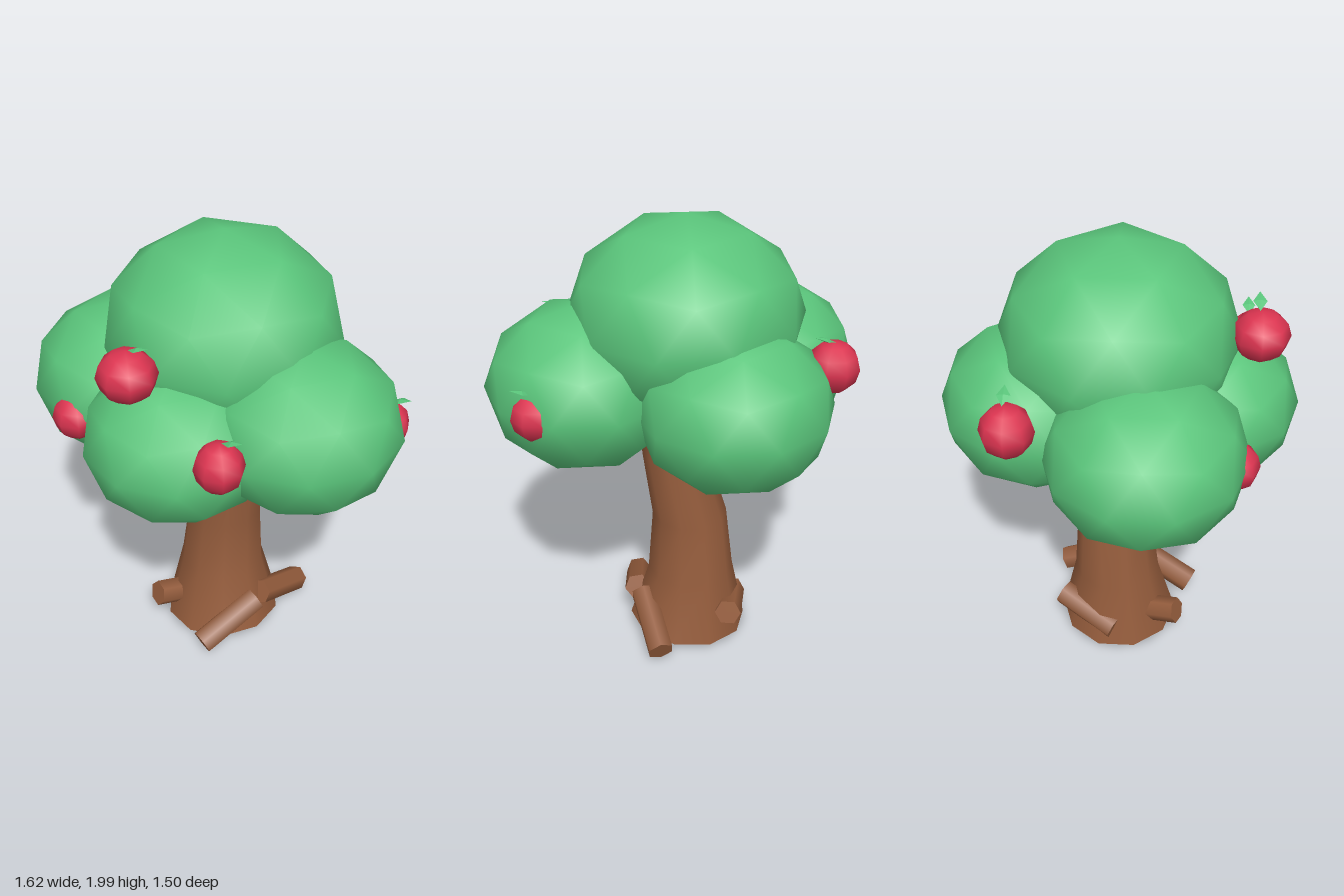
import * as THREE from 'three';
import { mergeVertices } from 'three/addons/utils/BufferGeometryUtils.js';

const leafGreen = new THREE.MeshStandardMaterial({ color: 0x5ac57b });
leafGreen.name = 'leaf green';
const barkBrown = new THREE.MeshStandardMaterial({ color: 0x945c3c });
barkBrown.name = 'bark brown';
const fruitRed = new THREE.MeshStandardMaterial({ color: 0xdb3450 });
fruitRed.name = 'fruit red';

function addMesh(parent, name, geometry, material, position = [0, 0, 0]) {
  const mesh = new THREE.Mesh(geometry, material);
  mesh.name = name;
  mesh.position.set(...position);
  parent.add(mesh);
  return mesh;
}

// Slightly flattened low-poly ball of foliage with a vertex at its pole
function foliageGeometry(radius) {
  const g = new THREE.IcosahedronGeometry(radius, 1);
  g.rotateX(-Math.atan((1 + Math.sqrt(5)) / 2));
  g.rotateY(Math.PI / 2);
  g.scale(1, 0.86, 1);
  return g;
}

// Bent trunk: each row is [height, centre x, centre z, radius]
function trunkGeometry(rows, sides) {
  const g = new THREE.CylinderGeometry(1, 1, 1, sides, rows.length - 1, true);
  const p = g.attributes.position;
  for (let i = 0; i < p.count; i++) {
    const row = Math.round((p.getY(i) + 0.5) * (rows.length - 1));
    const [y, cx, cz, r] = rows[row];
    const x = cx + p.getX(i) * r;
    const slope = row === 0 ? 0.07 * x : 0;
    p.setXYZ(i, x, y + slope, cz + p.getZ(i) * r);
  }
  g.deleteAttribute('uv');
  g.deleteAttribute('normal');
  const merged = mergeVertices(g);
  merged.computeVertexNormals();
  return merged;
}

// Tapered six-sided limb running between two points
function addLimb(parent, name, from, to, r0, r1) {
  const a = new THREE.Vector3(...from);
  const b = new THREE.Vector3(...to);
  const dir = b.clone().sub(a);
  const limb = addMesh(parent, name, new THREE.CylinderGeometry(r1, r0, dir.length(), 6), barkBrown);
  limb.position.copy(a).add(b).multiplyScalar(0.5);
  limb.quaternion.setFromUnitVectors(new THREE.Vector3(0, 1, 0), dir.normalize());
}

export function createModel() {
  const tree = new THREE.Group();
  tree.name = 'tree';

  // Trunk and its underside
  const rows = [
    [0.03, -0.02, -0.01, 0.27],
    [0.32, -0.03, -0.02, 0.195],
    [0.62, -0.02, -0.03, 0.167],
    [0.93, 0.04, 0, 0.142],
    [1.2, 0.06, 0, 0.12],
  ];
  addMesh(tree, 'trunk', trunkGeometry(rows, 10), barkBrown);
  const base = new THREE.CircleGeometry(0.27, 10);
  base.rotateX(Math.PI / 2);
  addMesh(tree, 'trunkBase', base, barkBrown, [-0.02, 0.03, -0.01]).rotation.z = 0.07;

  // Roots hugging the foot of the trunk
  const roots = [
    [[0.21, 0.2, 0.05], [0.1, 0.08, 0.33]],
    [[0.2, 0.2, 0], [0.23, 0.08, -0.29]],
    [[-0.12, 0.12, 0.08], [-0.2, 0.18, 0.27]],
    [[-0.11, 0.18, -0.27], [-0.25, 0.1, -0.02]],
  ];
  roots.forEach(([from, to]) => addLimb(tree, 'root', from, to, 0.06, 0.06));

  // Branches rising into the foliage
  addLimb(tree, 'branch', [-0.06, 0.88, 0.02], [-0.3, 1.15, 0.06], 0.06, 0.04);
  addLimb(tree, 'branch', [0.02, 0.94, -0.07], [-0.04, 1.2, -0.28], 0.06, 0.04);

  // Crown: [x, y, z, radius]
  const crown = [
    ['topFoliage', -0.01, 1.57, -0.01, 0.5],
    ['frontFoliage', 0.02, 1.245, 0.355, 0.39],
    ['rightFoliage', -0.415, 1.27, 0.115, 0.415],
    ['leftFoliage', 0.415, 1.305, 0.065, 0.415],
    ['backFoliage', -0.08, 1.285, -0.34, 0.41],
  ];
  for (const [name, x, y, z, r] of crown) {
    addMesh(tree, name, foliageGeometry(r), leafGreen, [x, y, z]);
  }

  // Fruit, each with a small diamond leaf: [x, y, z, radius, height radius]
  const fruits = [
    [-0.055, 1.615, 0.555, 0.12, 0.105],
    [0.355, 1.36, 0.545, 0.1, 0.105],
    [-0.42, 1.24, 0.465, 0.102, 0.1],
    [0.685, 1.3, -0.135, 0.1, 0.1],
    [-0.485, 1.42, -0.41, 0.11, 0.11],
  ];
  for (const [x, y, z, r, h] of fruits) {
    const fruit = new THREE.Group();
    fruit.name = 'fruit';
    fruit.position.set(x, y, z);
    const body = new THREE.SphereGeometry(r, 8, 6);
    body.scale(1, h / r, 1);
    addMesh(fruit, 'fruitBody', body, fruitRed);
    const leaf = new THREE.OctahedronGeometry(1, 0);
    leaf.scale(0.05, 0.008, 0.028);
    addMesh(fruit, 'fruitLeaf', leaf, leafGreen, [0.05, h + 0.018, -0.01]).rotation.z = 0.35;
    tree.add(fruit);
  }
  return tree;
}
